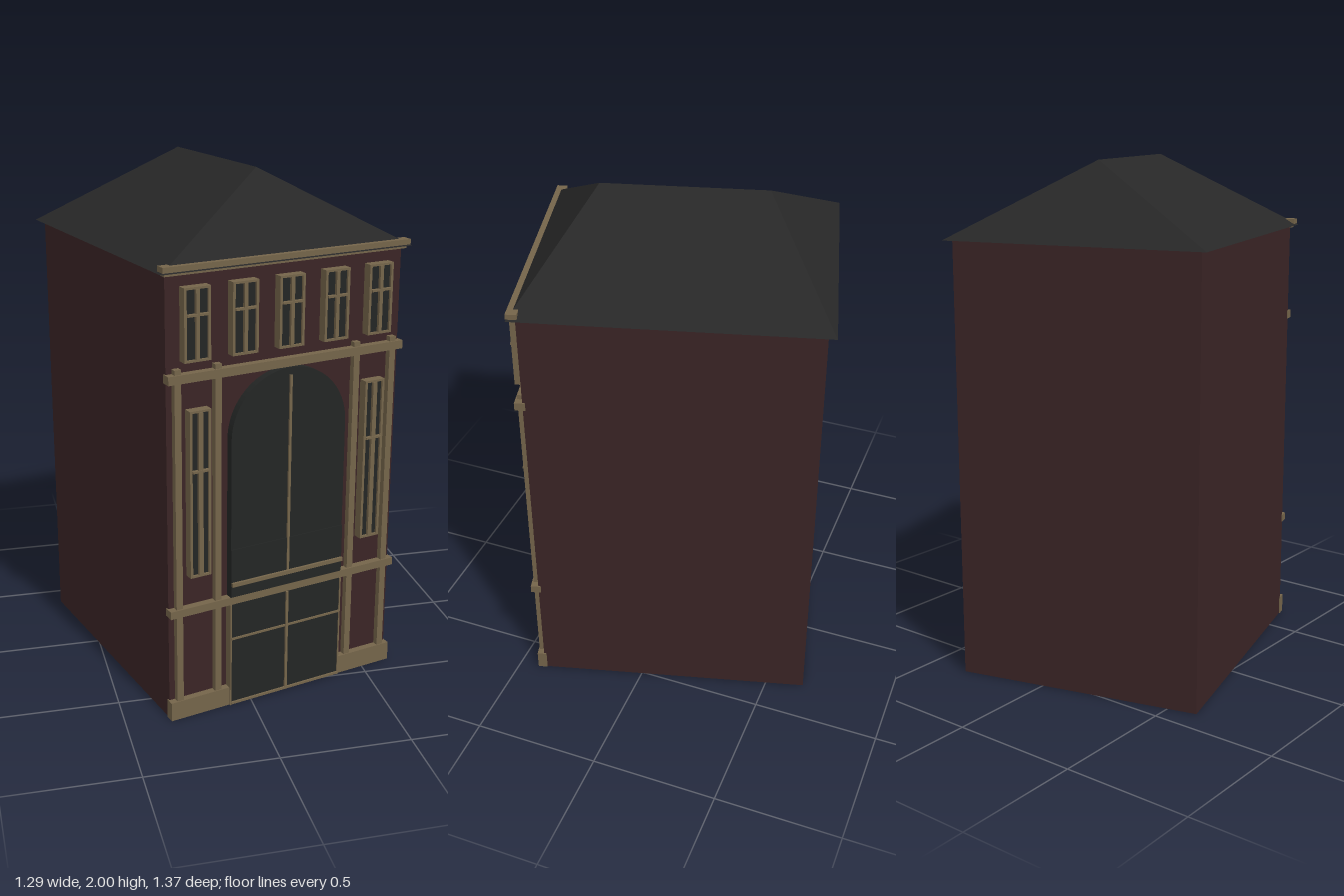
import * as THREE from 'three';

export function createModel() {
  const mat = (name, color) => {
    const m = new THREE.MeshStandardMaterial({ color });
    m.name = name;
    return m;
  };
  const brick = mat('dark red brick', 0x3a2425);
  const slate = mat('charcoal slate', 0x272727);
  const stone = mat('tan stone', 0x74644a);
  const glass = mat('dark glass', 0x232524);

  const model = new THREE.Group();
  model.name = 'townhouse';
  const house = new THREE.Group();
  house.name = 'house';
  house.rotation.y = THREE.MathUtils.degToRad(15);
  model.add(house);

  const W = 0.488, D = 0.541, EAVE = 1.71;

  const add = (name, geometry, material, parent = house) => {
    const mesh = new THREE.Mesh(geometry, material);
    mesh.name = name;
    parent.add(mesh);
    return mesh;
  };
  // Box given by its limits on each axis
  const box = (name, material, x0, x1, y0, y1, z0, z1, parent) => {
    const g = new THREE.BoxGeometry(x1 - x0, y1 - y0, z1 - z0);
    g.translate((x0 + x1) / 2, (y0 + y1) / 2, (z0 + z1) / 2);
    return add(name, g, material, parent);
  };

  box('walls', brick, -W, W, 0, EAVE, -D, D);

  // Hip roof: a box whose top is drawn in to a ridge along z
  const roof = new THREE.BoxGeometry(1.03, 2 - EAVE, 1.142);
  const p = roof.attributes.position;
  for (let i = 0; i < p.count; i++) {
    if (p.getY(i) > 0) {
      p.setX(i, 0);
      p.setZ(i, Math.sign(p.getZ(i)) * 0.31);
    }
  }
  roof.translate(0, (2 + EAVE) / 2, 0);
  roof.computeVertexNormals();
  add('roof', roof, slate);

  // Cornice and the bands across the facade
  box('corniceLower', stone, -0.498, 0.498, 1.7, 1.715, 0.53, 0.56);
  box('corniceUpper', stone, -0.508, 0.508, 1.715, 1.735, 0.53, 0.571);
  box('upperBand', stone, -0.492, 0.492, 1.32, 1.352, D - 0.01, 0.571);
  box('lowerBand', stone, -0.492, 0.492, 0.425, 0.455, D - 0.01, 0.571);

  // Plinths and pilasters, mirrored
  for (const s of [-1, 1]) {
    const a = s * 0.245, b = s * 0.492;
    box('plinth', stone, Math.min(a, b), Math.max(a, b), 0, 0.075, D - 0.01, 0.568);
    for (const x of [0.292, 0.452])
      box('pilaster', stone, s * x - 0.013, s * x + 0.013, 0.075, 1.37, D - 0.01, 0.564);
  }

  // Large arched window
  const arch = new THREE.Group();
  arch.name = 'archedWindow';
  house.add(arch);
  const R = 0.243, SPRING = 1.075;
  const shape = new THREE.Shape();
  shape.moveTo(-R, 0.455);
  shape.lineTo(R, 0.455);
  shape.lineTo(R, SPRING);
  shape.absarc(0, SPRING, R, 0, Math.PI, false);
  const pane = new THREE.ExtrudeGeometry(shape, { depth: 0.031, bevelEnabled: false, curveSegments: 20 });
  pane.translate(0, 0, D);
  add('archGlass', pane, glass, arch);
  box('archMullion', stone, -0.005, 0.005, 0.52, 1.29, 0.57, 0.579, arch);
  box('balustradePanel', glass, -R, R, 0.46, 0.65, 0.56, 0.576, arch);
  box('balustradeRail', stone, -R, R, 0.503, 0.518, 0.57, 0.586, arch);

  // Entrance
  const door = new THREE.Group();
  door.name = 'entrance';
  house.add(door);
  box('doorGlass', glass, -R, R, 0, 0.425, D, 0.572, door);
  box('doorMullion', stone, -0.005, 0.005, 0.01, 0.425, 0.57, 0.579, door);
  box('doorTransom', stone, -R, R, 0.279, 0.287, 0.57, 0.577, door);
  box('threshold', stone, -R, R, 0.005, 0.014, 0.57, 0.579, door);
  for (const s of [-1, 1])
    box('doorJamb', stone, s * R - 0.003, s * R + 0.003, 0, 0.425, D, 0.575, door);

  // Framed window with a mullion and a transom
  const windowAt = (name, x, w, y0, y1, bar, transomY) => {
    const g = new THREE.Group();
    g.name = name;
    house.add(g);
    const x0 = x - w / 2, x1 = x + w / 2, t = 0.01;
    box('pane', glass, x0 + 0.002, x1 - 0.002, y0 + 0.002, y1 - 0.002, D, 0.568, g);
    box('frameSide', stone, x0, x0 + t, y0, y1, D, 0.577, g);
    box('frameSide', stone, x1 - t, x1, y0, y1, D, 0.577, g);
    box('frameTop', stone, x0 + t, x1 - t, y1 - 0.008, y1, D, 0.577, g);
    box('frameBottom', stone, x0 + t, x1 - t, y0, y0 + 0.008, D, 0.577, g);
    box('mullion', stone, x - bar / 2, x + bar / 2, y0 + 0.008, y1 - 0.008, 0.56, 0.58, g);
    box('transom', stone, x0 + t, x1 - t, transomY - 0.004, transomY + 0.004, 0.56, 0.583, g);
  };
  for (const s of [-1, 1]) windowAt('tallWindow', s * 0.37, 0.086, 0.575, 1.215, 0.018, 0.987);
  for (let i = -2; i <= 2; i++) windowAt('upperWindow', i * 0.19, 0.104, 1.393, 1.658, 0.014, 1.56);

  return model;
}
